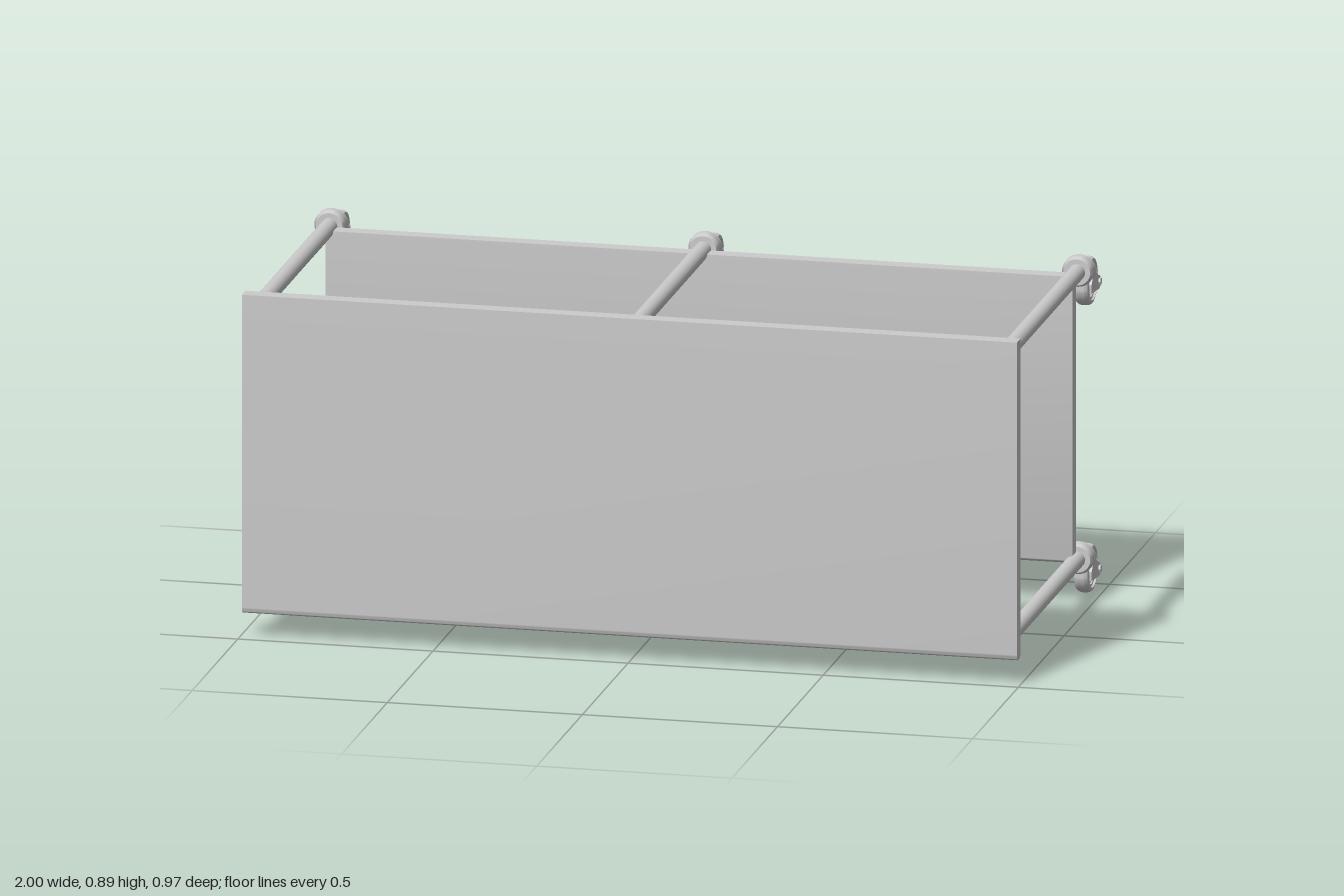
import * as THREE from 'three';
import { toCreasedNormals } from 'three/addons/utils/BufferGeometryUtils.js';

const grey = new THREE.MeshStandardMaterial({ color: 0xcccccc });
const greyThin = new THREE.MeshStandardMaterial({ color: 0xcccccc, side: THREE.DoubleSide });

function add(parent, name, geometry, x = 0, y = 0, z = 0, material = grey) {
  const mesh = new THREE.Mesh(geometry, material);
  mesh.name = name;
  mesh.position.set(x, y, z);
  parent.add(mesh);
  return mesh;
}

// Extrudes a (z, y) outline along x, centred on x = 0
function extrudeX(shape, width) {
  const g = new THREE.ExtrudeGeometry(shape, { depth: width, bevelEnabled: false, curveSegments: 8 });
  g.translate(0, 0, -width / 2);
  g.rotateY(-Math.PI / 2);
  return toCreasedNormals(g, 0.6);
}

// Board section: square upper edge, rounded lower edge
function boardShape(z0, z1, y0, y1, r) {
  const s = new THREE.Shape();
  s.moveTo(z0 + r, y0);
  s.lineTo(z1 - r, y0);
  s.quadraticCurveTo(z1, y0, z1, y0 + r);
  s.lineTo(z1, y1);
  s.lineTo(z0, y1);
  s.lineTo(z0, y0 + r);
  s.quadraticCurveTo(z0, y0, z0 + r, y0);
  return s;
}

function lathe(points, segments) {
  const g = new THREE.LatheGeometry(points.map(([r, h]) => new THREE.Vector2(r, h)), segments);
  return toCreasedNormals(g, 0.6);
}

// Wheel with a rounded tread, stepped rim and hub, axle along x
function wheelGeometry() {
  const half = [
    [0.062, 0.006], [0.0605, 0.012], [0.057, 0.017], [0.051, 0.019],
    [0.049, 0.019], [0.047, 0.014], [0.041, 0.014], [0.039, 0.010],
    [0.026, 0.010], [0.024, 0.021], [0, 0.021],
  ];
  const lower = half.map(([r, h]) => [r, -h]).reverse();
  return lathe([...lower, ...half], 40).rotateZ(-Math.PI / 2);
}

// Round fork housing whose rim dips in a curve towards the wheel
function skirtGeometry() {
  const R = 0.04;
  const g = new THREE.CylinderGeometry(R, R, 1, 32, 1, true).rotateX(-Math.PI / 2);
  const p = g.attributes.position;
  for (let i = 0; i < p.count; i++) {
    const t = p.getY(i) / R;
    const rim = t > 0 ? 0.03 + 0.022 * (1 - t) ** 2 : 0.017 + 0.035 * (1 + t);
    p.setZ(i, p.getZ(i) < 0 ? -rim : -0.01);
  }
  g.computeVertexNormals();
  return g;
}

// Side arm of the fork, reaching from the housing to the axle
function armShape() {
  const s = new THREE.Shape();
  s.moveTo(-0.017, -0.035);
  s.lineTo(-0.048, -0.004);
  s.lineTo(-0.094, -0.029);
  s.quadraticCurveTo(-0.118, -0.034, -0.118, -0.049);
  s.quadraticCurveTo(-0.117, -0.066, -0.098, -0.066);
  s.lineTo(-0.017, -0.058);
  s.closePath();
  return s;
}

const casterParts = {
  collar: lathe([[0, 0], [0.034, 0], [0.04, 0.011], [0.04, 0.017], [0, 0.017]], 32).rotateX(-Math.PI / 2),
  skirt: skirtGeometry(),
  arm: extrudeX(armShape(), 0.006),
  axle: new THREE.CylinderGeometry(0.006, 0.006, 0.068, 12).rotateZ(Math.PI / 2),
  nut: toCreasedNormals(new THREE.CylinderGeometry(0.01, 0.01, 0.006, 6).rotateZ(Math.PI / 2), 0.5),
  pin: new THREE.CylinderGeometry(0.012, 0.012, 0.012, 16).rotateX(Math.PI / 2),
  wheel: wheelGeometry(),
};

// Swivel caster with its origin at the end of the leg
function makeCaster() {
  const c = new THREE.Group();
  c.name = 'caster';
  add(c, 'casterCollar', casterParts.collar);
  add(c, 'forkHousing', casterParts.skirt, 0, 0, 0, greyThin);
  add(c, 'swivelPin', casterParts.pin, 0, 0, -0.022);
  for (const s of [-1, 1]) {
    add(c, 'forkArm', casterParts.arm, s * 0.031, 0, 0);
    add(c, 'axleNut', casterParts.nut, s * 0.036, -0.047, -0.1);
  }
  add(c, 'axle', casterParts.axle, 0, -0.047, -0.1);
  add(c, 'wheel', casterParts.wheel, 0, -0.047, -0.1);
  return c;
}

export function createModel() {
  const model = new THREE.Group();
  model.name = 'rollingTable';

  // Table top and lower shelf, both standing on edge
  add(model, 'tableTop', extrudeX(boardShape(0.445, 0.485, 0.065, 0.89, 0.016), 1.986));
  add(model, 'shelf', extrudeX(boardShape(-0.315, -0.275, 0.112, 0.855, 0.016), 1.914));

  // Six legs, each ending in a caster
  const leg = new THREE.CylinderGeometry(0.021, 0.021, 0.77, 28).rotateX(Math.PI / 2);
  for (const y of [0.112, 0.855]) {
    for (const x of [-0.958, 0, 0.958]) {
      add(model, 'leg', leg, x, y, 0.065);
      const caster = makeCaster();
      caster.position.set(x, y, -0.32);
      model.add(caster);
    }
  }
  return model;
}
